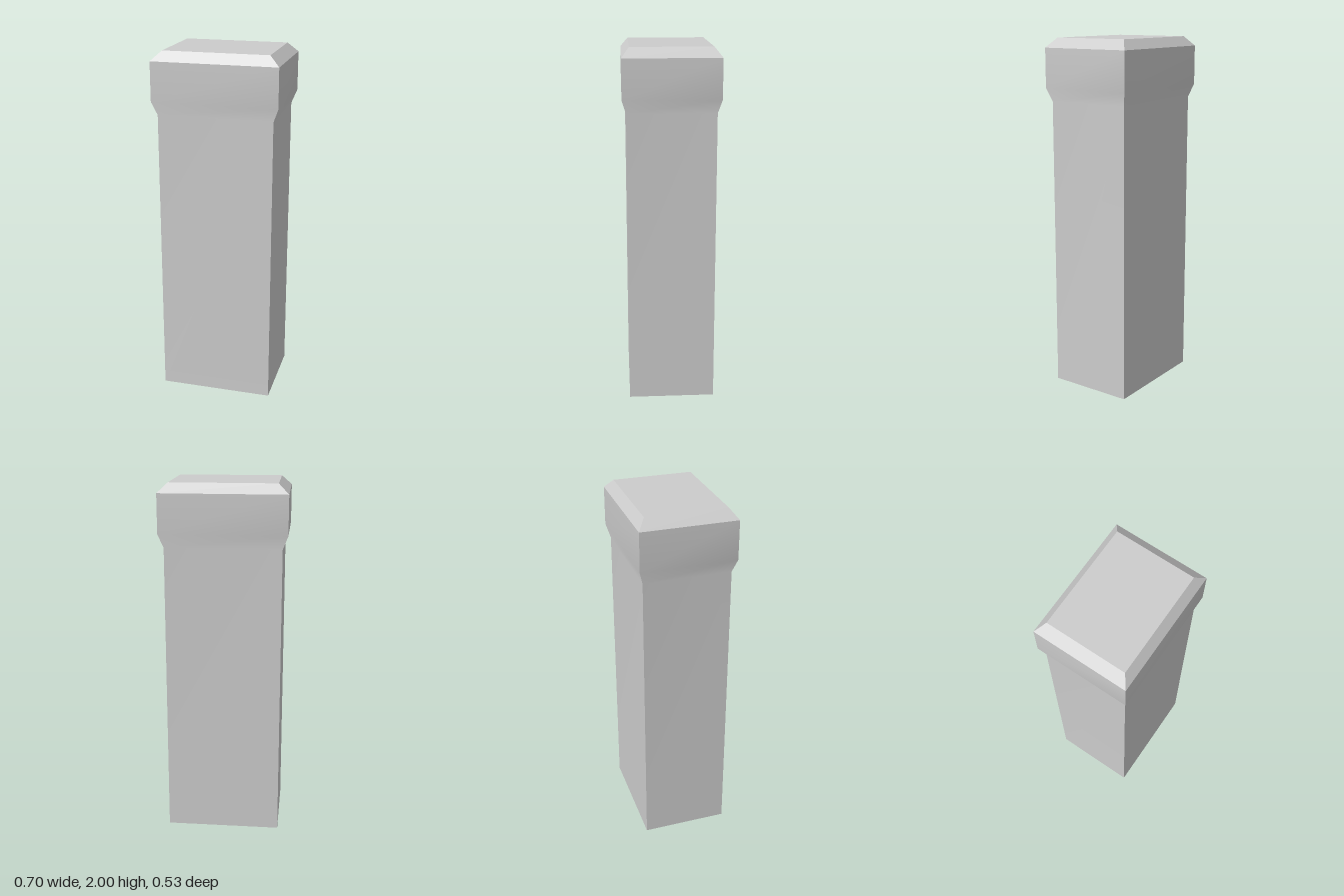
import * as THREE from 'three';

// Rectangular cross-sections: [half width, height, half depth]
const FOOT = [0.32, 0, 0.242];
const NECK = [0.32, 1.655, 0.242];
const COLLAR = [0.349, 1.73, 0.264];
const SHOULDER = [0.349, 1.947, 0.264];
const CROWN = [0.293, 2, 0.222];

// Corner signs, counter-clockwise seen from above
const CORNERS = [[-1, 1], [1, 1], [1, -1], [-1, -1]];
const SIDES = ['front', 'left', 'back', 'right'];

// One side running up through the sections; normals are smooth along its height
function sideStrip(sections, side) {
  const positions = [];
  const indices = [];
  sections.forEach(([w, y, d], row) => {
    for (const [sx, sz] of [CORNERS[side], CORNERS[(side + 1) % 4]]) {
      positions.push(sx * w, y, sz * d);
    }
    if (row > 0) {
      const a = (row - 1) * 2;
      indices.push(a, a + 1, a + 3, a, a + 3, a + 2);
    }
  });
  const geometry = new THREE.BufferGeometry();
  geometry.setAttribute('position', new THREE.Float32BufferAttribute(positions, 3));
  geometry.setIndex(indices);
  geometry.computeVertexNormals();
  return geometry;
}

export function createModel() {
  const group = new THREE.Group();
  group.name = 'pillar';

  const stone = new THREE.MeshStandardMaterial({ color: 0xcccccc, side: THREE.DoubleSide });
  stone.name = 'grey stone';

  const add = (geometry, name) => {
    const mesh = new THREE.Mesh(geometry, stone);
    mesh.name = name;
    group.add(mesh);
    return mesh;
  };

  // Four walls flaring into the head, and the bevels above; the bottom is open
  SIDES.forEach((name, side) => {
    add(sideStrip([FOOT, NECK, COLLAR, SHOULDER], side), `${name} wall`);
    add(sideStrip([SHOULDER, CROWN], side), `${name} bevel`);
  });

  // Flat top
  const top = new THREE.PlaneGeometry(CROWN[0] * 2, CROWN[2] * 2);
  top.rotateX(-Math.PI / 2);
  add(top, 'top').position.y = CROWN[1];

  return group;
}
